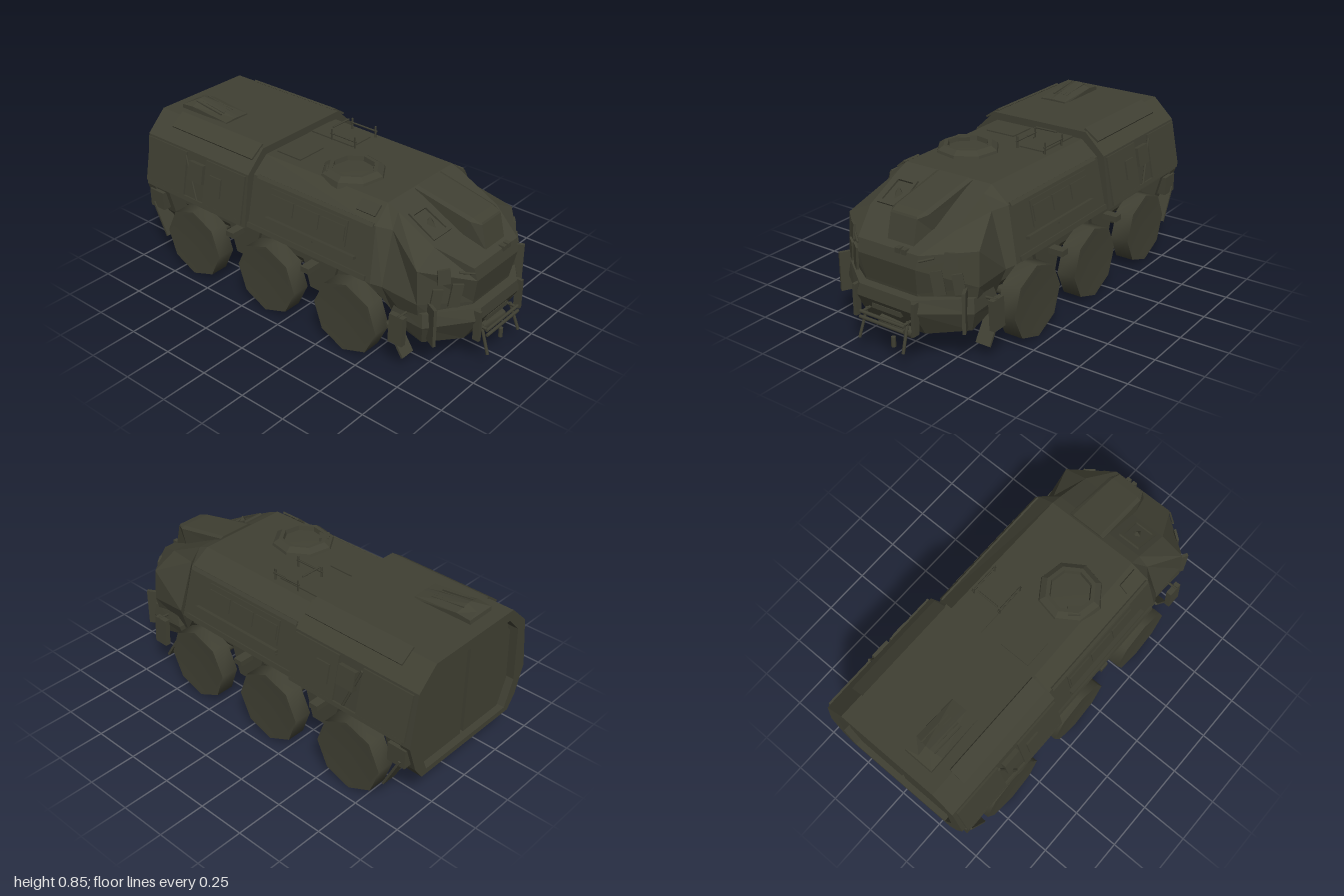
import * as THREE from 'three';
import { toCreasedNormals } from 'three/addons/utils/BufferGeometryUtils.js';

const olive = new THREE.MeshStandardMaterial({ color: 0x404033, side: THREE.DoubleSide });
olive.name = 'olive drab paint';

export function createModel() {
  const model = new THREE.Group();
  model.name = 'armouredTruck';

  const add = (name, geo, x = 0, y = 0, z = 0, rx = 0, ry = 0, rz = 0) => {
    const m = new THREE.Mesh(geo, olive);
    m.name = name;
    m.position.set(x, y, z);
    m.rotation.set(rx, ry, rz);
    model.add(m);
    return m;
  };
  const box = (name, w, h, d, ...at) => add(name, new THREE.BoxGeometry(w, h, d), ...at);
  const both = (f) => [1, -1].forEach(f);

  // Round bar between two points
  const bar = (name, a, b, r = 0.006, n = 6) => {
    const p = new THREE.Vector3(...a), q = new THREE.Vector3(...b);
    const m = add(name, new THREE.CylinderGeometry(r, r, p.distanceTo(q), n));
    m.position.copy(p).lerp(q, 0.5);
    m.quaternion.setFromUnitVectors(new THREE.Vector3(0, 1, 0), q.sub(p).normalize());
  };

  // Faceted solid through mirrored half sections, capped at both ends
  const loft = (name, halves, cx = 0) => {
    const rings = halves.map(h => [...h, ...h.map(([x, y, z]) => [-x, y, z]).reverse()]
      .map(([x, y, z]) => new THREE.Vector3(x + cx, y, z)));
    const n = rings[0].length, tris = [];
    const quad = (a, b, c, d) => tris.push([a, b, c], [a, c, d]);
    for (let i = 0; i + 1 < rings.length; i++) {
      for (let j = 0; j < n; j++) {
        const k = (j + 1) % n;
        quad(rings[i][j], rings[i][k], rings[i + 1][k], rings[i + 1][j]);
      }
    }
    const first = rings[0], last = rings[rings.length - 1];
    for (let j = 0; j < n / 2 - 1; j++) {
      quad(first[n - 1 - j], first[n - 2 - j], first[j + 1], first[j]);
      quad(last[j], last[j + 1], last[n - 2 - j], last[n - 1 - j]);
    }
    // Turn all faces outward
    let volume = 0;
    const t = new THREE.Vector3();
    tris.forEach(([a, b, c]) => { volume += a.dot(t.crossVectors(b, c)); });
    if (volume < 0) tris.forEach(f => f.reverse());
    const geo = new THREE.BufferGeometry().setFromPoints(tris.flat());
    geo.computeVertexNormals();
    add(name, geo);
  };
  // Same half section at a given z
  const at = (z, pts) => pts.map(([x, y]) => [x, y, z]);

  // Cab and middle hull: belly, waist, shoulder, roof edge (pinched at the cab doors)
  const mid = [[0.33, 0.40], [0.41, 0.42], [0.35, 0.69], [0.26, 0.765]];
  loft('cabAndMidHull', [
    at(-0.28, mid),
    [[0.33, 0.40, 0.5], [0.41, 0.42, 0.51], [0.35, 0.69, 0.49], [0.25, 0.765, 0.48]],
    [[0.33, 0.26, 0.58], [0.385, 0.41, 0.56], [0.30, 0.67, 0.55], [0.25, 0.74, 0.54]],
    [[0.34, 0.20, 0.75], [0.385, 0.40, 0.76], [0.38, 0.57, 0.75], [0.25, 0.635, 0.745]],
    [[0.17, 0.16, 0.88], [0.15, 0.36, 0.905], [0.165, 0.49, 0.93], [0.175, 0.555, 0.915]],
  ]);

  // Rear troop module
  const rear = [[0.34, 0.40], [0.43, 0.42], [0.39, 0.70], [0.28, 0.805]];
  const tail = [[0.33, 0.2], [0.38, 0.27], [0.42, 0.42]];
  loft('rearModule', [at(-0.27, rear), at(-0.935, rear)]);
  loft('tailHull', [at(-0.84, tail), at(-0.935, tail)]);

  // Rear door frame and double doors
  const poly = (pts) => [...pts, ...pts.map(([x, y]) => [-x, y]).reverse()]
    .map(p => new THREE.Vector2(...p));
  const slab = (shape, depth) => new THREE.ExtrudeGeometry(shape, { depth, bevelEnabled: false });
  const frame = new THREE.Shape(poly([[0.33, 0.2], [0.38, 0.27], [0.43, 0.42], [0.39, 0.70], [0.28, 0.805]]));
  frame.holes.push(new THREE.Path(poly([[0.30, 0.23], [0.355, 0.37], [0.34, 0.67], [0.26, 0.755]])));
  add('rearDoorFrame', slab(frame, 0.055), 0, 0, -0.99);
  both(s => {
    const leaf = new THREE.Shape([[0.012, 0.24], [0.28, 0.24], [0.335, 0.375], [0.32, 0.66], [0.245, 0.74], [0.012, 0.74]]
      .map(([x, y]) => new THREE.Vector2(s * x, y)));
    add('rearDoor', slab(leaf, 0.02), 0, 0, -0.96);
    box('rearLampBlock', 0.07, 0.1, 0.1, s * 0.4, 0.35, -0.92);
    box('rearMudFlap', 0.085, 0.2, 0.012, s * 0.4, 0.24, -0.9, -0.45);
  });

  // Lower hull with tapered cross members between the wheels, and steps
  const keel = [[0.27, 0.25], [0.31, 0.3], [0.31, 0.42]];
  loft('lowerHull', [at(0.58, keel), at(-0.86, keel)]);
  [0.13, -0.38].forEach(z => {
    const web = new THREE.Shape(poly([[0.06, 0.17], [0.13, 0.41]]));
    add('crossMember', slab(web, 0.66), -0.33, 0, z, 0, Math.PI / 2);
    both(s => box('step', 0.08, 0.03, 0.05, s * 0.375, 0.325, z - 0.02));
  });

  // Square-shouldered wheels with dished faces, axles and drive shaft
  const tyre = toCreasedNormals(new THREE.LatheGeometry([
    [0, -0.06], [0.19, -0.05], [0.19, 0.05], [0.17, 0.05], [0, 0.03],
  ].map(p => new THREE.Vector2(...p)), 8), 0.85);
  [0.385, -0.125, -0.645].forEach(z => {
    both(s => add('wheel', tyre, s * 0.394, 0.19, z, 0.06, 0, -s * Math.PI / 2));
    bar('axle', [-0.34, 0.19, z], [0.34, 0.19, z], 0.025, 8);
    add('differential', new THREE.SphereGeometry(0.05, 8, 6), 0, 0.19, z);
  });
  bar('driveShaft', [0, 0.185, 0.5], [0, 0.185, -0.66], 0.022, 8);

  // Front bumper
  loft('frontBumper', [
    [[0.35, 0.225, 0.60], [0.35, 0.18, 0.77], [0.17, 0.155, 0.88]],
    [[0.37, 0.28, 0.60], [0.38, 0.28, 0.79], [0.17, 0.285, 0.955]],
    [[0.36, 0.34, 0.62], [0.37, 0.35, 0.78], [0.15, 0.345, 0.95]]]);
  box('bumperIntake', 0.17, 0.025, 0.02, 0, 0.25, 0.935);
  bar('winch', [-0.07, 0.17, 0.9], [0.12, 0.15, 0.9], 0.025, 8);
  add('towHook', new THREE.CylinderGeometry(0.012, 0.012, 0.05, 6), 0.04, 0.105, 0.95);

  // Bull bar
  [0.22, 0.195].forEach((y, i) => bar('bullBarRail', [-0.13, y, 0.975 + i * 0.005], [0.13, y, 0.975 + i * 0.005], 0.009));
  both(s => {
    bar('bullBarLeg', [s * 0.12, 0.23, 0.94], [s * 0.13, 0.09, 0.99], 0.008);
    bar('bullBarStay', [s * 0.12, 0.22, 0.975], [s * 0.12, 0.22, 0.9], 0.008);
    box('bumperStrake', 0.018, 0.16, 0.035, s * 0.172, 0.26, 0.95);
    box('bumperCornerBlade', 0.016, 0.2, 0.07, s * 0.35, 0.3, 0.82, 0, s * 0.5);
    // Front lamps, brow panels and hood corner marks
    box('innerHeadlamp', 0.055, 0.12, 0.012, s * 0.24, 0.425, 0.868, 0, s * 0.62, s * 0.15);
    box('outerHeadlamp', 0.05, 0.10, 0.012, s * 0.315, 0.42, 0.815, 0, s * 0.62, s * 0.15);
    box('browPanel', 0.06, 0.075, 0.012, s * 0.285, 0.53, 0.83, -0.1, s * 0.65);
    bar('noseTrim', [s * 0.175, 0.53, 0.92], [s * 0.23, 0.545, 0.875], 0.006);
    // Side mirrors and front mud flaps
    box('sideMirror', 0.03, 0.15, 0.08, s * 0.42, 0.25, 0.68, 0, 0, 0.05 * s);
    bar('mirrorArm', [s * 0.36, 0.32, 0.69], [s * 0.43, 0.325, 0.69], 0.007);
    box('frontMudFlap', 0.08, 0.19, 0.012, s * 0.35, 0.15, 0.64, -0.56);
  });

  // Hood scoop and windscreen
  loft('hoodScoop', [
    [[0.105, 0.70, 0.49], [0.105, 0.765, 0.49], [0.085, 0.772, 0.49]],
    [[0.105, 0.60, 0.76], [0.1, 0.70, 0.80], [0.08, 0.712, 0.80]],
    [[0.075, 0.565, 0.88], [0.075, 0.69, 0.85], [0.07, 0.70, 0.845]]], 0.043);
  const ring = new THREE.Shape(poly([[0.065, -0.085], [0.06, 0.085]]));
  ring.holes.push(new THREE.Path(poly([[0.05, -0.065], [0.045, 0.065]])));
  add('windscreenFrame', slab(ring, 0.015), -0.16, 0.68, 0.645, 0.49 - Math.PI / 2);
  add('periscope', new THREE.ConeGeometry(0.035, 0.05, 4), -0.155, 0.69, 0.65);
  [0.06, 0.095].forEach(x => box('hoodLatch', 0.025, 0.025, 0.03, x, 0.555, 0.91));

  // Side panels, windows and rails
  both(s => {
    const wall = (name, y, z, h, d, t = 0.016) =>
      box(name, t, h, d, s * (0.35 + (0.69 - y) * 0.222), y, z, 0, 0, s * 0.22);
    wall('sideWindowPanel', 0.6, 0.1, 0.13, 0.48);
    [0.26, 0.1, -0.06].forEach(z => wall('sideWindow', 0.6, z, 0.075, 0.145, 0.03));
    wall('sideRail', 0.51, 0.13, 0.014, 0.56, 0.045);
    wall('lowerSideRail', 0.495, 0.0, 0.01, 0.3, 0.03);
    wall('waistStrip', 0.435, 0.1, 0.025, 0.76, 0.02);
    box('eaveTrim', 0.012, 0.02, 0.72, s * 0.35, 0.69, 0.12, 0, 0, s * 0.6);

    // Thin armour plates standing off the rear module
    const skirt = (name, y, z, h, d, t = 0.01) =>
      box(name, t, h, d, s * (0.398 + (0.7 - y) * 0.2), y, z, 0, 0, s * 0.2);
    skirt('rearSidePanel', 0.575, -0.83, 0.24, 0.28);
    skirt('rearSideDoor', 0.575, -0.415, 0.24, 0.27);
    skirt('rearPort', 0.58, -0.47, 0.1, 0.08, 0.03);
    skirt('rearLocker', 0.61, -0.61, 0.1, 0.1, 0.03);
    skirt('rearWaistRail', 0.455, -0.62, 0.02, 0.68, 0.012);
    bar('panelBrace', [s * 0.41, 0.68, -0.69], [s * 0.44, 0.45, -0.6], 0.007);
    // Roof shoulder plates
    box('roofShoulderPlate', 0.095, 0.01, 0.57, s * 0.305, 0.79, -0.57, 0, 0, -s * 0.6);
  });

  // Roof vent on the rear module
  loft('roofVent', [
    [[0.08, 0.80, -0.60], [0.075, 0.812, -0.60], [0.01, 0.815, -0.60]],
    [[0.08, 0.80, -0.84], [0.08, 0.832, -0.84], [0.012, 0.855, -0.85]],
    [[0.08, 0.80, -0.92], [0.08, 0.825, -0.915], [0.012, 0.832, -0.90]]], -0.13);
  for (let i = 0; i < 5; i++) box('ventSlat', 0.006, 0.008, 0.18, -0.17 + i * 0.02, 0.835, -0.76, 0.13);

  // Gunner hatch ring and lid
  const hatch = toCreasedNormals(new THREE.LatheGeometry([
    [0.165, -0.02], [0.155, 0.008], [0.125, 0.028], [0.105, 0.028], [0.1, 0.005], [0, 0.008],
  ].map(p => new THREE.Vector2(...p)), 8), 0.3);
  add('gunnerHatch', hatch, -0.12, 0.77, 0.17, 0, 0.2);
  box('hatchHinge', 0.06, 0.02, 0.05, -0.2, 0.785, 0.1, 0, 0.7);

  // Roof hatches and equipment rails
  box('roofHatch', 0.17, 0.01, 0.15, -0.12, 0.767, -0.17);
  box('roofHatch', 0.14, 0.01, 0.27, 0.14, 0.767, -0.13);
  box('smallRoofHatch', 0.06, 0.01, 0.11, -0.3, 0.737, 0.41, 0, 0, 0.69);
  [0.07, 0.23].forEach(x => {
    [0.02, -0.13].forEach(z => bar('rackPost', [x, 0.76, z], [x, 0.825, z], 0.005));
    bar('rackRail', [x, 0.8, 0.03], [x, 0.8, -0.14], 0.005);
  });
  bar('rackCrossBar', [0.08, 0.83, -0.13], [0.2, 0.83, -0.13], 0.005);

  return model;
}
